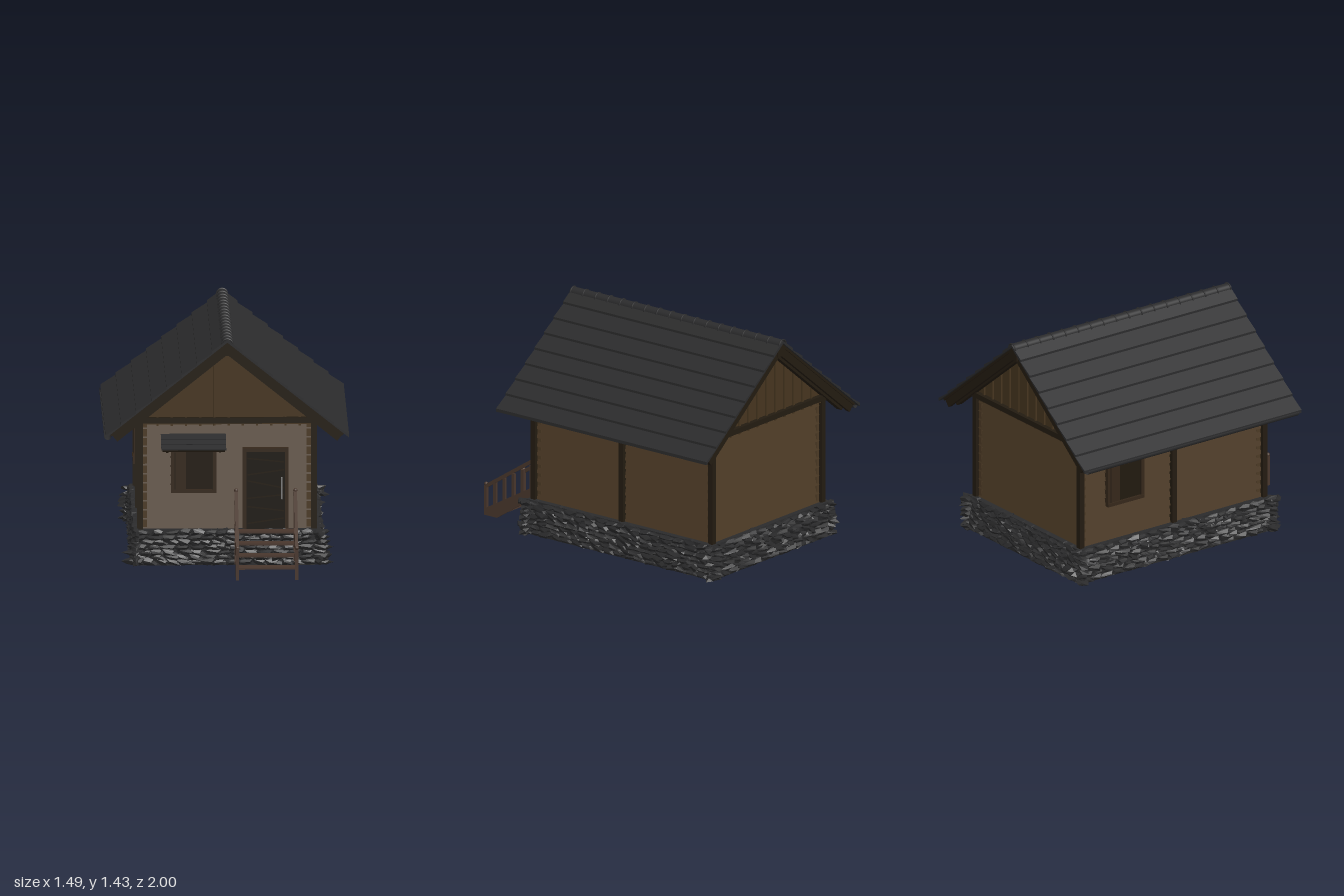
import * as THREE from 'three';
import { mergeGeometries } from 'three/addons/utils/BufferGeometryUtils.js';

const mat = (color, extra = {}) => new THREE.MeshStandardMaterial({ color, ...extra });
const M = {
  wall: mat(0x4c3a25), gable: mat(0x46351f), beam: mat(0x231b11), frame: mat(0x35271a),
  door: mat(0x1c1710), glass: mat(0x21190f), tile: mat(0x2b2b2c), stone: mat(0x2a2a2b, { flatShading: true }),
  stair: mat(0x48362c), metal: mat(0x8a8a8a), gutter: mat(0x2b2b2c, { side: THREE.DoubleSide }),
};
const PITCH = 0.8, RIDGE = 1.42, CZ = -0.175; // roof slope, ridge height, house centre in z

let seed = 7;
const rnd = () => (seed = (seed * 16807) % 2147483647) / 2147483647;

function add(parent, name, geo, material, x = 0, y = 0, z = 0) {
  const m = new THREE.Mesh(geo, material);
  m.name = name;
  m.position.set(x, y, z);
  parent.add(m);
  return m;
}
const box = (p, name, material, w, h, d, x, y, z) => add(p, name, new THREE.BoxGeometry(w, h, d), material, x, y, z);

// extrude a 2D outline, centred along its depth
function prism(points, depth) {
  const g = new THREE.ExtrudeGeometry(new THREE.Shape(points.map(p => new THREE.Vector2(...p))), { depth, bevelEnabled: false });
  return g.translate(0, 0, -depth / 2);
}
const group = (parent, name) => {
  const g = new THREE.Group();
  g.name = name;
  parent.add(g);
  return g;
};

// rough flat stones stacked in courses around a core
function foundation(root) {
  const g = group(root, 'foundation');
  box(g, 'foundationCore', M.stone, 1.13, 0.22, 1.46, 0, 0.12, CZ);
  const stones = [], courses = 7, hx = 0.555, hz = 0.72;
  for (let c = 0; c < courses; c++) {
    for (let side = 0; side < 4; side++) {
      const half = side % 2 ? hx : hz, out = side % 2 ? hz : hx;
      for (let u = -half - 0.01; u < half + 0.02; u += 0.06 + rnd() * 0.04) {
        const s = new THREE.DodecahedronGeometry(1, 0), p = s.attributes.position, k = rnd() * 50;
        for (let i = 0; i < p.count; i++) {
          const a = p.getX(i), b = p.getY(i), d = p.getZ(i);
          const f = 1 + 0.28 * Math.sin(a * 17.3 + b * 31.1 + d * 23.7 + k);
          p.setXYZ(i, a * f, b * f, d * f);
        }
        s.scale(0.024 + rnd() * 0.016, 0.019 + rnd() * 0.012, 0.05 + rnd() * 0.025);
        s.rotateX((rnd() - 0.5) * 0.35);
        s.translate(out, 0.03 + c * 0.03, u).rotateY(side * Math.PI / 2).translate(0, 0, CZ);
        for (let i = 0; i < p.count; i++) p.setY(i, Math.min(0.237, Math.max(0.01, p.getY(i))));
        s.computeVertexNormals();
        stones.push(s);
      }
    }
  }
  add(g, 'foundationStones', mergeGeometries(stones), M.stone);
}

// lapped boards: saw-tooth profile facing +x, run along z
function siding(length) {
  const n = 12, y0 = 0.23, step = 0.056, pts = [[-0.03, y0]];
  for (let i = 0; i < n; i++) pts.push([0.012, y0 + i * step], [0, y0 + (i + 1) * step]);
  pts.push([-0.03, y0 + n * step]);
  return prism(pts, length);
}

function walls(root) {
  const g = group(root, 'walls');
  box(g, 'wallCore', M.wall, 1.0, 0.66, 1.36, 0, 0.56, CZ);
  [['right', 0, 0.515, 1.38], ['front', -Math.PI / 2, 0.68, 1.04], ['left', Math.PI, 0.515, 1.38], ['back', Math.PI / 2, 0.68, 1.04]]
    .forEach(([name, a, out, len]) => {
      const m = add(g, name + 'Siding', siding(len), M.wall, Math.cos(a) * out, 0, CZ - Math.sin(a) * out);
      m.rotation.y = a;
    });
  // corner and middle posts
  for (const x of [-0.528, 0.528]) for (const z of [0.52, -0.17, -0.87])
    box(g, 'post', M.beam, 0.036, 0.67, 0.034, x, 0.565, z);
  // gables: board panel, battens and tie beam
  for (const s of [1, -1]) {
    const z = CZ + s * 0.68;
    add(g, 'gablePanel', prism([[-0.56, 0.875], [0.56, 0.875], [0.56, 0.93], [0, 1.38], [-0.56, 0.93]], 0.03), M.gable, 0, 0, z);
    for (let i = -6; i <= 6; i++) {
      const x = i * 0.0865 + 0.01, top = RIDGE - 0.07 - PITCH * Math.abs(x);
      box(g, 'gableBatten', M.gable, 0.014, top - 0.868, 0.016, x, (top + 0.868) / 2, z + s * 0.018);
    }
    box(g, 'tieBeam', M.beam, 1.1, 0.034, 0.05, 0, 0.903, z + s * 0.02);
  }
}

// sloping timber following the roof pitch, with a square-cut end
function slope(s, end, top, thick, depth) {
  return prism([[0, top], [s * end, top - PITCH * end], [s * (end - 0.49 * thick), top - thick - PITCH * (end - 0.49 * thick)], [0, top - thick]], depth);
}

function roof(root) {
  const g = group(root, 'roof');
  const rows = 8, W = 0.74;
  for (const s of [1, -1]) {
    const pts = [[0, RIDGE]];
    for (let i = 1; i <= rows; i++) {
      const x = W * i / rows, y = RIDGE - PITCH * x;
      pts.push([s * x, y + 0.006]);
      pts.push([s * x, y - 0.008]);
    }
    pts.push([s * W, RIDGE - PITCH * W - 0.014], [0, RIDGE - 0.016]);
    add(g, 'roofTiles', prism(pts, 1.65), M.tile, 0, 0, CZ);
    add(g, 'roofDeck', slope(s, 0.71, RIDGE - 0.016, 0.018, 1.62), M.beam, 0, 0, CZ);
    for (const z of [0.55, 0.07, -0.41, -0.9]) add(g, 'rafter', slope(s, 0.695, RIDGE - 0.03, 0.07, 0.04), M.beam, 0, 0, z);
    for (const z of [0.615, -0.965]) add(g, 'bargeboard', slope(s, 0.705, RIDGE - 0.02, 0.075, 0.025), M.beam, 0, 0, z);
  }
  for (const z of [0.632, -0.982])
    add(g, 'peakPlate', prism([[-0.035, 1.32], [0.035, 1.32], [0.035, 1.37], [0, 1.4], [-0.035, 1.37]], 0.012), M.beam, 0, 0, z);
  // ridge cap with joints
  add(g, 'ridgeCap', new THREE.CylinderGeometry(0.032, 0.032, 1.65, 16, 1, true, Math.PI / 2, Math.PI).rotateX(Math.PI / 2), M.gutter, 0, 1.393, CZ);
  for (let i = 0; i < 18; i++)
    add(g, 'ridgeJoint', new THREE.TorusGeometry(0.033, 0.005, 6, 14, Math.PI), M.tile, 0, 1.393, 0.643 - i * 0.0963);
  // gutter on one eave only
  add(g, 'gutter', new THREE.CylinderGeometry(0.022, 0.022, 1.6, 12, 1, true, -Math.PI / 2 - 0.3, Math.PI + 0.6).rotateX(Math.PI / 2), M.gutter, -0.727, 0.822, CZ);
}

// rectangular surround centred on the group origin
function surround(g, w, h, t, sill) {
  for (const s of [-1, 1]) box(g, 'frameSide', M.frame, t, h, 0.035, s * (w - t) / 2, 0, 0);
  box(g, 'frameTop', M.frame, w, t, 0.04, 0, (h - t) / 2, 0);
  if (sill) box(g, 'frameSill', M.frame, w, t, 0.045, 0, (t - h) / 2, 0);
}

function windowUnit(root, x, y, z, turn) {
  const g = group(root, 'window');
  g.position.set(x, y, z);
  g.rotation.y = turn;
  surround(g, 0.277, 0.275, 0.022, true);
  box(g, 'windowPane', M.glass, 0.24, 0.24, 0.02, 0, 0, 0);
  box(g, 'windowSash', M.frame, 0.07, 0.235, 0.008, -0.08, 0, 0.01);
  for (const s of [-1, 1]) box(g, 'windowBar', M.beam, 0.008, 0.235, 0.01, s * 0.115, 0, 0.012);
}

function door(root) {
  const g = group(root, 'door');
  g.position.set(0.235, 0.48, 0.525);
  surround(g, 0.28, 0.5, 0.022, false);
  box(g, 'doorLeaf', M.door, 0.24, 0.48, 0.02, 0, -0.01, 0);
  // slanted plank ribs
  [0.15, -0.12, 0.1, -0.2, 0.14, -0.1].forEach((a, i) => {
    box(g, 'doorRib', M.beam, 0.225, 0.008, 0.008, 0, -0.2 + i * 0.075, 0.01).rotation.z = a;
  });
  add(g, 'doorHandle', new THREE.CapsuleGeometry(0.005, 0.13, 4, 8), M.metal, 0.098, 0.005, 0.03);
  for (const y of [-0.05, 0.06]) box(g, 'handleMount', M.metal, 0.006, 0.006, 0.025, 0.098, y, 0.018);
}

// small tiled canopy over the front window
function awning(root) {
  const g = group(root, 'awning');
  g.position.set(-0.205, 0.812, 0.52);
  g.rotation.x = 0.36;
  box(g, 'awningDeck', M.beam, 0.38, 0.01, 0.18, 0, -0.01, 0.09);
  for (let i = 0; i < 3; i++) box(g, 'awningTile', M.tile, 0.395, 0.008, 0.07, 0, 0.003, 0.033 + i * 0.06).rotation.x = -0.06;
  for (const s of [-1, 1]) box(g, 'awningBrace', M.beam, 0.015, 0.02, 0.15, s * 0.16, -0.022, 0.085);
}

function stairs(root) {
  const g = group(root, 'stairs');
  const run = 0.43, rise = 0.28, a = Math.atan2(rise, run);
  for (const x of [0.055, 0.415]) {
    // stringer profile is drawn in (-z, y) and turned to face sideways
    const str = prism([[-0.99, 0], [-0.9, 0], [-0.54, 0.235], [-0.54, 0.3], [-0.99, 0.045]], 0.018).rotateY(Math.PI / 2);
    add(g, 'stringer', str, M.stair, x, 0, 0);
    box(g, 'handrail', M.stair, 0.02, 0.022, Math.hypot(run, rise), x, 0.32, 0.78).rotation.x = a;
    for (const [z, y0, y1] of [[0.99, 0, 0.19], [0.562, 0.02, 0.465]]) {
      box(g, 'newelPost', M.stair, 0.02, y1 - y0, 0.02, x, (y0 + y1) / 2, z);
      add(g, 'newelBall', new THREE.SphereGeometry(0.013, 12, 8), M.stair, x, y1 + 0.008, z);
    }
    for (let i = 1; i <= 5; i++) {
      const z = 0.99 - i * 0.0713, y = 0.04 + (0.99 - z) * 0.58;
      box(g, 'baluster', M.stair, 0.016, 0.15, 0.022, x, y + 0.068, z);
    }
  }
  for (let i = 0; i < 4; i++) box(g, 'tread', M.stair, 0.35, 0.012, 0.088, 0.235, 0.055 + i * 0.058, 0.868 - i * 0.087);
}

export function createModel() {
  const root = new THREE.Group();
  root.name = 'cabin';
  foundation(root);
  walls(root);
  roof(root);
  windowUnit(root, -0.203, 0.592, 0.525, 0);
  windowUnit(root, -0.53, 0.592, -0.54, -Math.PI / 2);
  door(root);
  awning(root);
  stairs(root);
  return root;
}
